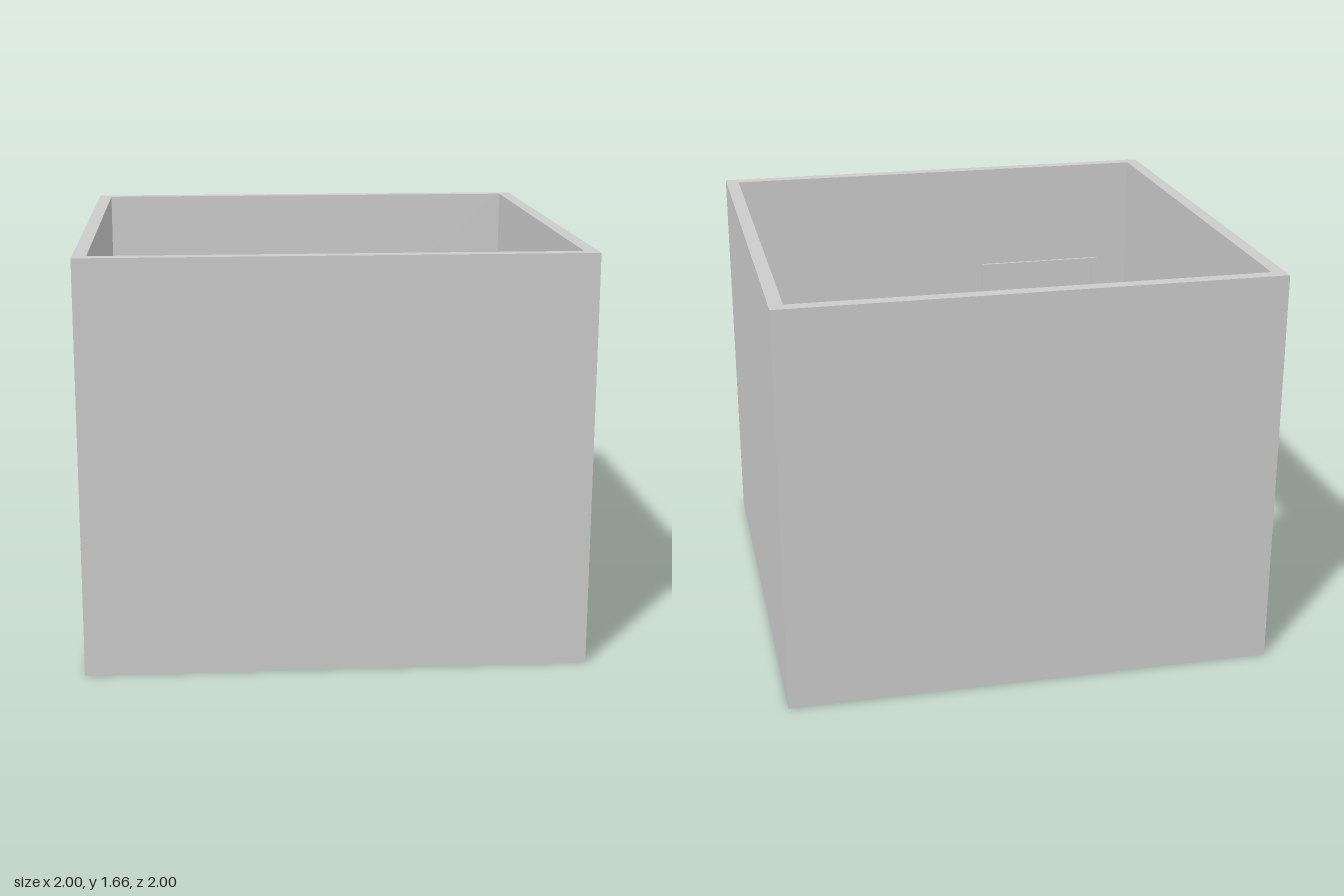
import * as THREE from 'three';

const H = 1.66, IN = 0.945, FLOOR = 0.075;
const WIN = { z: 0.4, y0: 0.75, y1: 1.18 };
const DOOR = { x0: -0.8, x1: -0.22, top: 1.19, w: 0.022 };

const mat = new THREE.MeshStandardMaterial({
  color: 0xcccccc, side: THREE.DoubleSide, flatShading: true,
});

function add(parent, name, geometry) {
  const mesh = new THREE.Mesh(geometry, mat);
  mesh.name = name;
  parent.add(mesh);
  return mesh;
}

function rect(x0, y0, x1, y1, Type = THREE.Shape) {
  const p = [[x0, y0], [x1, y0], [x1, y1], [x0, y1]];
  return new Type(p.map(([x, y]) => new THREE.Vector2(x, y)));
}

function box(parent, name, x0, x1, y0, y1, z0, z1) {
  const mesh = add(parent, name, new THREE.BoxGeometry(x1 - x0, y1 - y0, z1 - z0));
  mesh.position.set((x0 + x1) / 2, (y0 + y1) / 2, (z0 + z1) / 2);
}

// Strip of quads joining rectangular rings in the window plane: [x, half width, y0, y1]
function ringLoft(rings) {
  const pos = [], index = [];
  for (const [x, z, y0, y1] of rings) pos.push(x, y0, z, x, y0, -z, x, y1, -z, x, y1, z);
  for (let r = 0; r < rings.length - 1; r++) {
    for (let i = 0; i < 4; i++) {
      const a = r * 4 + i, b = r * 4 + (i + 1) % 4;
      index.push(a, b, b + 4, a, b + 4, a + 4);
    }
  }
  const g = new THREE.BufferGeometry();
  g.setAttribute('position', new THREE.Float32BufferAttribute(pos, 3));
  g.setIndex(index);
  const flat = g.toNonIndexed();
  flat.computeVertexNormals();
  return flat;
}

export function createModel() {
  const model = new THREE.Group();
  model.name = 'room';

  // Outer skin: three walls and the base; the window side is left open
  const outer = new THREE.Group();
  outer.name = 'outerShell';
  model.add(outer);
  const outerWalls = [['frontOuterWall', 0], ['leftOuterWall', Math.PI / 2], ['backOuterWall', Math.PI]];
  for (const [name, angle] of outerWalls) {
    const g = new THREE.ShapeGeometry(rect(-1, 0, 1, H));
    add(outer, name, g.translate(0, 0, 1).rotateY(angle));
  }
  add(outer, 'base', new THREE.PlaneGeometry(2, 2).rotateX(Math.PI / 2));

  // Flat rim joining the outer and inner skins
  const rim = rect(-1, -1, 1, 1);
  rim.holes.push(rect(-IN, -IN, IN, IN, THREE.Path));
  add(model, 'topRim', new THREE.ShapeGeometry(rim).rotateX(-Math.PI / 2).translate(0, H, 0));

  // Inner skin, facing into the room, with window and door openings
  const inner = new THREE.Group();
  inner.name = 'innerShell';
  model.add(inner);
  const innerWalls = [
    ['backInnerWall', 0],
    ['windowWall', Math.PI / 2, rect(-WIN.z, WIN.y0, WIN.z, WIN.y1, THREE.Path)],
    ['doorWall', Math.PI, rect(-DOOR.x1 + -DOOR.w / 2, FLOOR + 0.001, -DOOR.x0 - DOOR.w / 2, DOOR.top - DOOR.w / 2, THREE.Path)],
    ['leftInnerWall', -Math.PI / 2],
  ];
  for (const [name, angle, hole] of innerWalls) {
    const shape = rect(-IN, FLOOR, IN, H);
    if (hole) shape.holes.push(hole);
    add(inner, name, new THREE.ShapeGeometry(shape).translate(0, 0, -IN).rotateY(angle));
  }
  add(inner, 'floor', new THREE.PlaneGeometry(2 * IN, 2 * IN).rotateX(-Math.PI / 2).translate(0, FLOOR, 0));

  // Window: thin reveal, bevelled inside trim and crossed glazing bars
  const win = new THREE.Group();
  win.name = 'window';
  model.add(win);
  const ring = (x, d) => [x, WIN.z + d, WIN.y0 - d, WIN.y1 + d];
  add(win, 'windowReveal', ringLoft([ring(-0.93, 0), ring(-1, 0)]));
  add(win, 'windowTrim', ringLoft([ring(-IN, 0.027), ring(-0.93, 0.013), ring(-0.93, 0)]));
  const midY = (WIN.y0 + WIN.y1) / 2, b = 0.013, barX = -0.973;
  box(win, 'horizontalBar', barX - b, barX + b, midY - b, midY + b, -WIN.z - 0.005, WIN.z + 0.005);
  box(win, 'verticalBar', barX - b, barX + b, WIN.y0 - 0.005, WIN.y1 + 0.005, -b, b);

  // Door frame: two jambs and a head around the recess
  const door = new THREE.Group();
  door.name = 'doorFrame';
  model.add(door);
  const { x0, x1, top, w } = DOOR, z0 = 0.932, z1 = 0.975;
  box(door, 'doorJamb', x0, x0 + w, FLOOR, top, z0, z1);
  box(door, 'doorJamb', x1 - w, x1, FLOOR, top, z0, z1);
  box(door, 'doorHead', x0 + w, x1 - w, top - w, top, z0, z1);

  return model;
}
